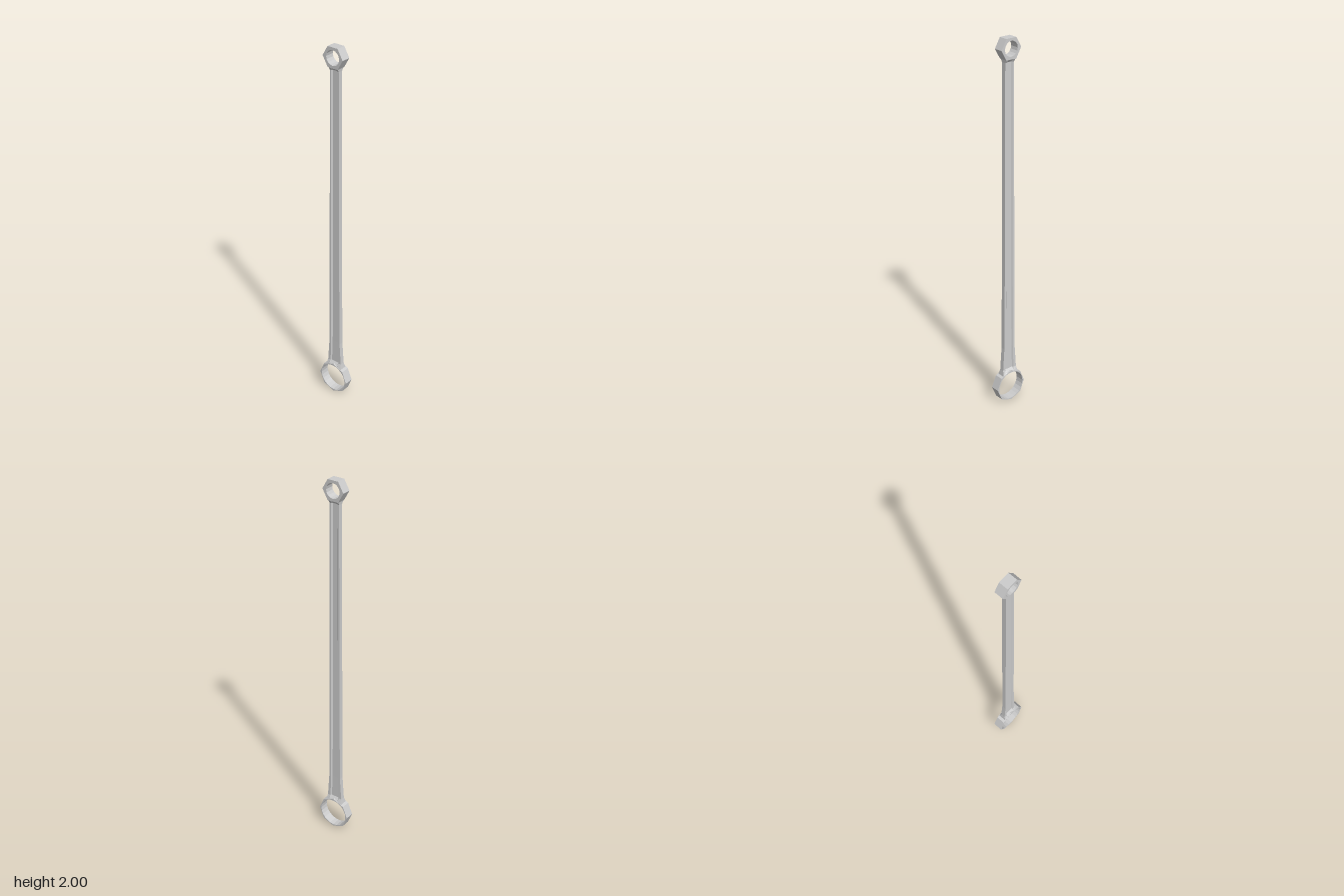
import * as THREE from 'three';

const material = new THREE.MeshStandardMaterial({ color: 0xcccccc, flatShading: true });
const DEPTH = 0.049;
const BIG = { y: 0.0905, outer: 0.0905, hole: 0.08 };
const SMALL = { y: 1.948, outer: 0.06, hole: 0.039 };

// Faceted ring facing z with a polygonal outside and a rounder bore
function ring(name, { y, outer, hole }, sides, boreSides) {
  const points = (r, n) => Array.from({ length: n }, (_, i) => {
    const a = i / n * Math.PI * 2;
    return new THREE.Vector2(r * Math.cos(a), r * Math.sin(a));
  });
  const shape = new THREE.Shape(points(outer, sides));
  shape.holes.push(new THREE.Path(points(hole, boreSides)));
  const geometry = new THREE.ExtrudeGeometry(shape, { depth: DEPTH, bevelEnabled: false });
  geometry.translate(0, y, -DEPTH / 2);
  const mesh = new THREE.Mesh(geometry, material);
  mesh.name = name;
  return mesh;
}

// I-beam outline at one height: half width, groove half width, flange and web half depths
function section({ y, w, g, f, d, web }) {
  const quarter = [[w, d], [g, d], [f, web]];
  const front = [...quarter, ...quarter.map(([x, z]) => [-x, z]).reverse()];
  const loop = [...front, ...front.map(([x, z]) => [x, -z]).reverse()];
  return loop.map(([x, z]) => [x, typeof y === 'function' ? y(x) : y, z]);
}

function loft(name, rows) {
  const loops = rows.map(section);
  const n = loops[0].length;
  const index = [];
  for (let r = 0; r < loops.length - 1; r++) {
    for (let i = 0; i < n; i++) {
      const a = r * n + i, b = r * n + (i + 1) % n;
      index.push(a, a + n, b, b, a + n, b + n);
    }
  }
  const geometry = new THREE.BufferGeometry();
  geometry.setAttribute('position', new THREE.Float32BufferAttribute(loops.flat(2), 3));
  geometry.setIndex(index);
  const flat = geometry.toNonIndexed();
  flat.computeVertexNormals();
  const mesh = new THREE.Mesh(flat, material);
  mesh.name = name;
  return mesh;
}

export function createModel() {
  const group = new THREE.Group();
  group.name = 'connectingRod';
  group.add(ring('bigEnd', BIG, 8, 24));
  group.add(ring('smallEnd', SMALL, 6, 16));

  // Shank: flared neck seated on the big bore, then a slowly tapering grooved beam
  const seat = x => BIG.y + Math.sqrt(0.0815 ** 2 - x * x);
  group.add(loft('shank', [
    { y: seat, w: 0.05, g: 0.028, f: 0.026, d: 0.0242, web: 0.0242 },
    { y: 0.19, w: 0.044, g: 0.027, f: 0.022, d: 0.0125, web: 0.006 },
    { y: 0.32, w: 0.035, g: 0.023, f: 0.018, d: 0.012, web: 0.005 },
    { y: 0.7, w: 0.032, g: 0.022, f: 0.016, d: 0.012, web: 0.005 },
    { y: 1.88, w: 0.027, g: 0.019, f: 0.013, d: 0.012, web: 0.005 },
    { y: 1.9, w: 0.029, g: 0.018, f: 0.012, d: 0.0235, web: 0.0235 },
  ]));
  return group;
}
